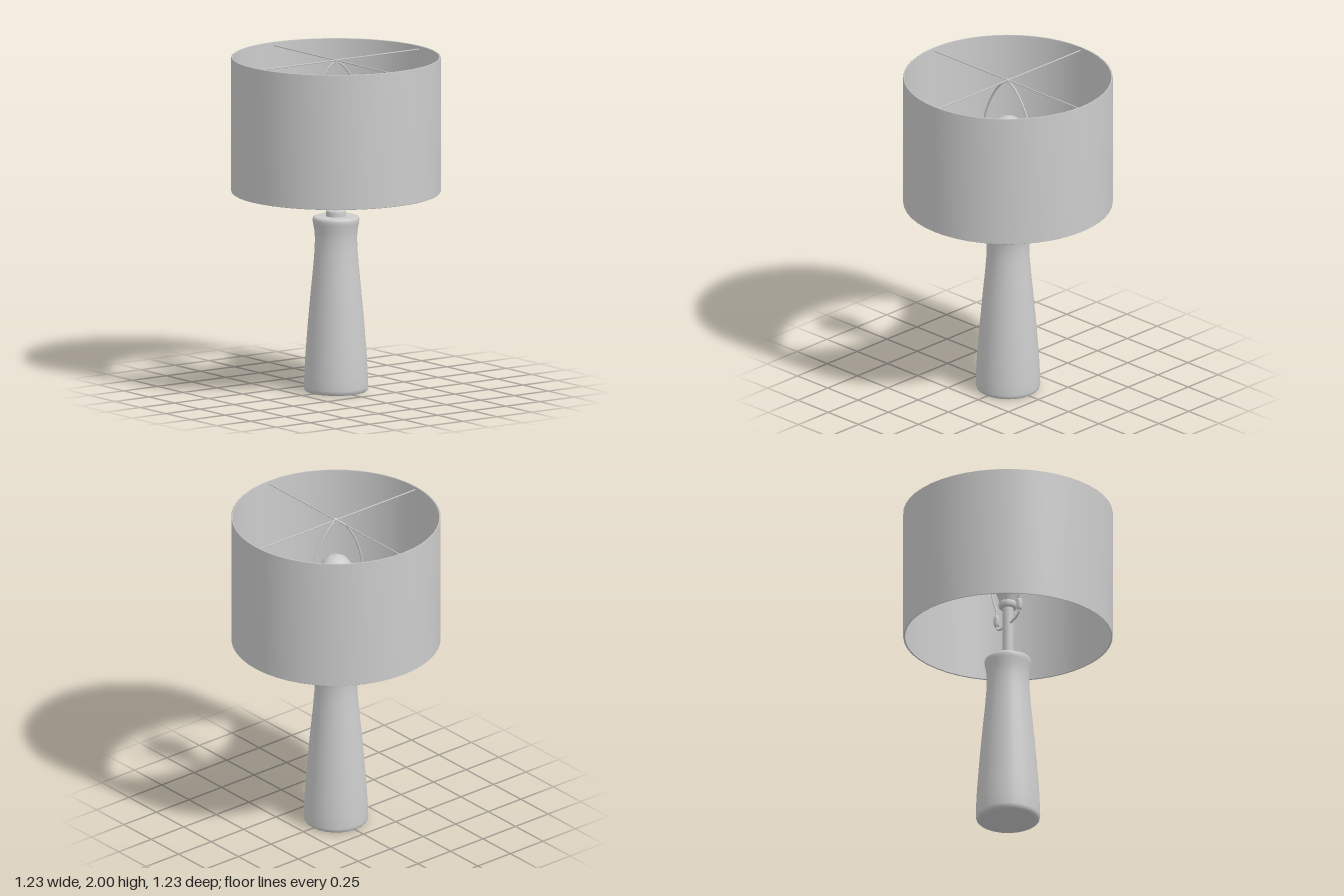
import * as THREE from 'three';

export function createModel() {
  const lamp = new THREE.Group();
  lamp.name = 'tableLamp';
  const grey = new THREE.MeshStandardMaterial({ color: 0xcccccc });
  grey.name = 'plain grey';

  const add = (name, geometry, parent = lamp) => {
    const mesh = new THREE.Mesh(geometry, grey);
    mesh.name = name;
    parent.add(mesh);
    return mesh;
  };
  // profile points are [radius, height], listed from bottom to top
  const lathe = (points, sides) =>
    new THREE.LatheGeometry(points.map(([r, y]) => new THREE.Vector2(r, y)), sides);
  const wire = (points, radius, segments) =>
    new THREE.TubeGeometry(
      new THREE.CatmullRomCurve3(points.map(([y, z]) => new THREE.Vector3(0, y, z))),
      segments, radius, 6);

  // Tapered body with a flared lip
  add('base', lathe([
    [0, 0], [0.165, 0], [0.178, 0.003], [0.187, 0.012], [0.19, 0.03], [0.188, 0.1],
    [0.183, 0.2], [0.168, 0.4], [0.15, 0.6], [0.135, 0.75], [0.127, 0.85],
    [0.125, 0.92], [0.129, 0.97], [0.137, 1.01], [0.139, 1.03], [0.134, 1.043],
    [0.124, 1.048], [0, 1.048],
  ], 24));

  // Collar, neck and socket
  add('collar', lathe([
    [0.06, 1.045], [0.06, 1.075], [0.056, 1.084], [0.045, 1.086], [0.034, 1.086],
  ], 20));
  const neck = add('neck', new THREE.CylinderGeometry(0.034, 0.034, 0.31, 16));
  neck.position.y = 1.235;
  add('socket', lathe([
    [0, 1.375], [0.045, 1.375], [0.055, 1.385], [0.055, 1.41], [0.045, 1.42], [0, 1.42],
  ], 16));

  // Eight-sided bulb
  add('bulb', lathe([
    [0.048, 1.41], [0.06, 1.45], [0.09, 1.52], [0.108, 1.58], [0.112, 1.63],
    [0.1, 1.68], [0.07, 1.72], [0.035, 1.74], [0, 1.745],
  ], 8));

  // Wire harp: saddle, ferrules and the bow that carries the shade
  const harp = new THREE.Group();
  harp.name = 'harp';
  lamp.add(harp);
  add('saddle', wire([
    [1.34, -0.14], [1.3, -0.135], [1.285, -0.11], [1.275, -0.04],
    [1.275, 0.04], [1.285, 0.11], [1.3, 0.135], [1.34, 0.14],
  ], 0.007, 32), harp);
  for (const side of [-1, 1]) {
    const ferrule = add('ferrule', lathe([
      [0, -0.035], [0.011, -0.035], [0.018, -0.022], [0.018, 0.022], [0.011, 0.035], [0, 0.035],
    ], 10), harp);
    ferrule.position.set(0, 1.35, side * 0.14);
  }
  const arm = [[1.37, 0.14], [1.43, 0.15], [1.52, 0.19], [1.6, 0.203], [1.69, 0.19],
    [1.8, 0.15], [1.9, 0.09], [1.955, 0.035]];
  const bow = [...arm, [1.968, 0], ...arm.map(([y, z]) => [y, -z]).reverse()];
  add('bow', wire(bow, 0.006, 64), harp);

  // Open drum shade with a thin wall
  add('shade', lathe([
    [0.607, 1.196], [0.611, 1.192], [0.617, 1.196], [0.617, 1.996], [0.611, 2], [0.607, 1.996],
    [0.607, 1.196],
  ], 48));

  // Crossed wires holding the shade
  const spider = new THREE.Group();
  spider.name = 'shadeSpider';
  lamp.add(spider);
  for (const turn of [0, Math.PI / 2]) {
    const rod = add('spiderRod', new THREE.CylinderGeometry(0.004, 0.004, 1.216, 6).rotateZ(Math.PI / 2), spider);
    rod.position.y = 1.978;
    rod.rotation.y = turn;
  }
  const washer = add('washer', new THREE.CylinderGeometry(0.012, 0.012, 0.02, 10), spider);
  washer.position.y = 1.974;

  return lamp;
}
